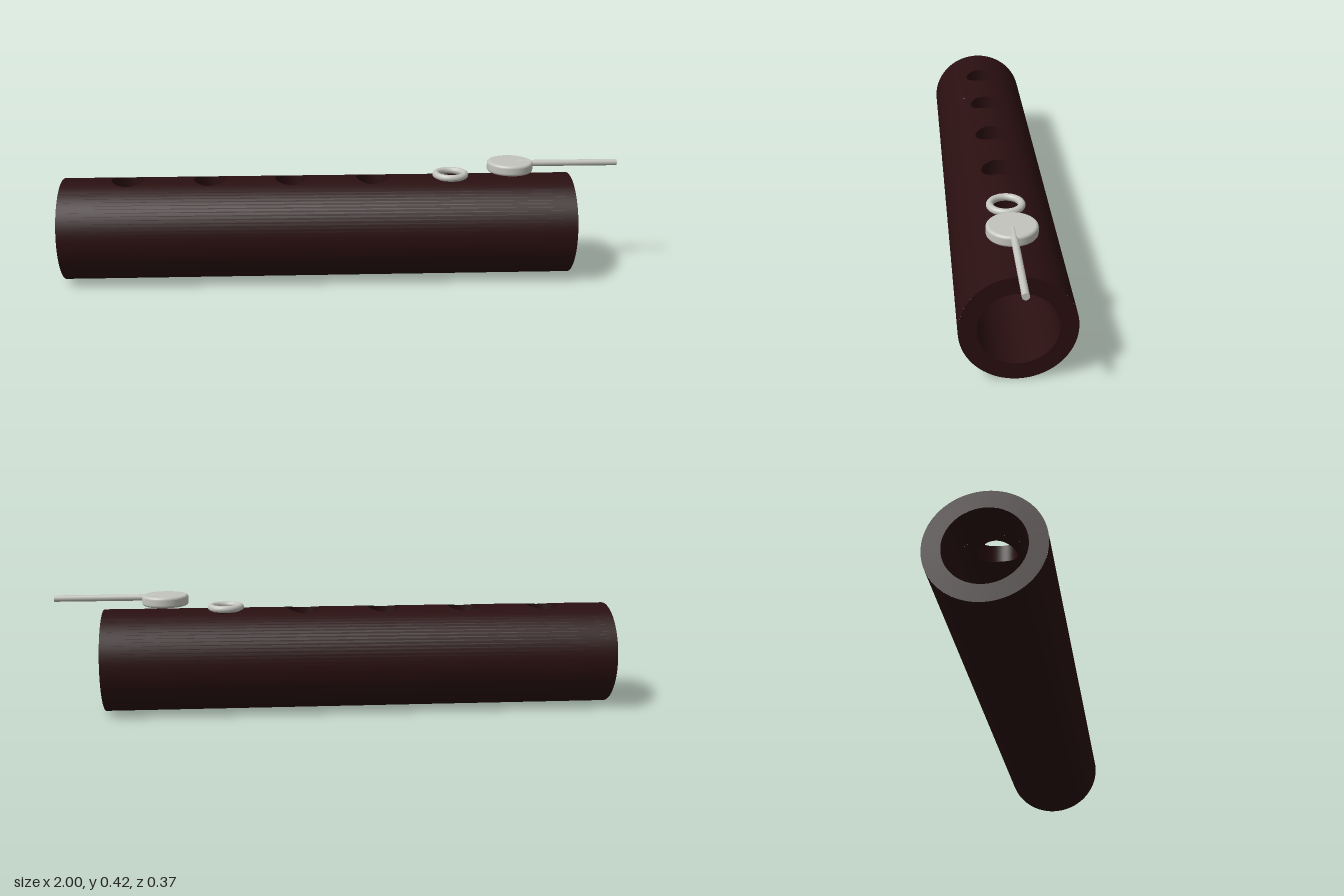
import * as THREE from 'three';

const RO = 0.183, RI = 0.126, CY = 0.183;   // tube radii and axis height
const X0 = -1, X1 = 0.83;                   // tube ends
const HOLES = [-0.765, -0.472, -0.18, 0.113, 0.395];
const HR = 0.06, HALF = 0.09;               // hole radius, half size of the square patch around it

// Grid surface from point(u, v) and normal(position); triangles are wound to agree with the normal
function surface(nu, nv, point, normal) {
  const pos = [], nor = [], idx = [];
  for (let i = 0; i <= nu; i++) for (let j = 0; j <= nv; j++) {
    const p = point(i / nu, j / nv);
    pos.push(p.x, p.y, p.z);
    nor.push(...normal(p).toArray());
  }
  const at = (k, arr) => new THREE.Vector3().fromArray(arr, k * 3);
  const tri = (a, b, c) => {
    const A = at(a, pos);
    const face = at(b, pos).sub(A).cross(at(c, pos).sub(A));
    if (face.dot(at(a, nor)) > 0) idx.push(a, b, c); else idx.push(a, c, b);
  };
  for (let i = 0; i < nu; i++) for (let j = 0; j < nv; j++) {
    const a = i * (nv + 1) + j, b = a + nv + 1;
    tri(a, b, b + 1);
    tri(a, b + 1, a + 1);
  }
  const g = new THREE.BufferGeometry();
  g.setAttribute('position', new THREE.Float32BufferAttribute(pos, 3));
  g.setAttribute('normal', new THREE.Float32BufferAttribute(nor, 3));
  g.setIndex(idx);
  return g;
}

export function createModel() {
  const model = new THREE.Group();
  const wood = new THREE.MeshStandardMaterial({ color: 0x2a0f10 });
  wood.name = 'dark wood';
  const silver = new THREE.MeshStandardMaterial({ color: 0xc4c4be });
  silver.name = 'silver';

  const add = (parent, name, geometry, material, x = 0, y = 0, z = 0) => {
    const mesh = new THREE.Mesh(geometry, material);
    mesh.name = name;
    mesh.position.set(x, y, z);
    parent.add(mesh);
    return mesh;
  };

  // Tube body
  const body = new THREE.Group();
  body.name = 'tubeBody';
  model.add(body);

  const onTop = (x, z, r) => new THREE.Vector3(x, CY + Math.sqrt(r * r - z * z), z);

  for (const [label, r, sign] of [['outer', RO, 1], ['inner', RI, -1]]) {
    const radial = p => new THREE.Vector3(0, p.y - CY, p.z).normalize().multiplyScalar(sign);

    // Lower wall, everything outside the top strip
    const start = Math.asin(HALF / r);
    add(body, label + 'Wall', surface(1, 72, (u, v) => {
      const a = start + v * (2 * Math.PI - 2 * start);
      return new THREE.Vector3(X0 + u * (X1 - X0), CY + r * Math.cos(a), r * Math.sin(a));
    }, radial), wood);

    // Plain top strips between the holes
    const edges = [X0, ...HOLES.flatMap(c => [c - HALF, c + HALF]), X1];
    for (let i = 0; i < edges.length; i += 2) {
      add(body, label + 'TopStrip', surface(1, 16, (u, v) =>
        onTop(edges[i] + u * (edges[i + 1] - edges[i]), HALF * (2 * v - 1), r), radial), wood);
    }

    // Square top patches, each with a round opening
    for (const c of HOLES) {
      add(body, label + 'HolePatch', surface(64, 4, (u, v) => {
        const a = u * 2 * Math.PI, cos = Math.cos(a), sin = Math.sin(a);
        const square = HALF / Math.max(Math.abs(cos), Math.abs(sin));
        const d = HR + (square - HR) * v;
        return onTop(c + d * cos, d * sin, r);
      }, radial), wood);
    }
  }

  // Walls of the holes
  for (const c of HOLES) {
    add(body, 'holeWall', surface(64, 1, (u, v) => {
      const a = u * 2 * Math.PI;
      return onTop(c + HR * Math.cos(a), HR * Math.sin(a), v ? RO : RI);
    }, p => new THREE.Vector3(c - p.x, 0, -p.z).normalize()), wood);
  }

  // Flat end rims
  for (const [x, turn] of [[X0, -1], [X1, 1]]) {
    add(body, 'endRim', new THREE.RingGeometry(RI, RO, 72), wood, x, CY).rotation.y = turn * Math.PI / 2;
  }

  // Metal ring around the last hole
  const ring = add(model, 'metalRing', new THREE.TorusGeometry(0.0525, 0.0125, 16, 48), silver, 0.395, 0.371);
  ring.rotation.x = Math.PI / 2;

  // Round key with softened rims
  const profile = [new THREE.Vector2(0, -0.019)];
  for (const [cy, from] of [[-0.009, -Math.PI / 2], [0.009, 0]]) {
    for (let i = 0; i <= 6; i++) {
      const a = from + (i / 6) * Math.PI / 2;
      profile.push(new THREE.Vector2(0.072 + 0.01 * Math.cos(a), cy + 0.01 * Math.sin(a)));
    }
  }
  profile.push(new THREE.Vector2(0, 0.019));
  add(model, 'keyDisc', new THREE.LatheGeometry(profile, 48), silver, 0.61, 0.401);

  // Rod reaching out from the key
  const rod = add(model, 'keyRod', new THREE.CylinderGeometry(0.0115, 0.0115, 0.37, 24), silver, 0.815, 0.41);
  rod.rotation.z = Math.PI / 2;

  return model;
}
